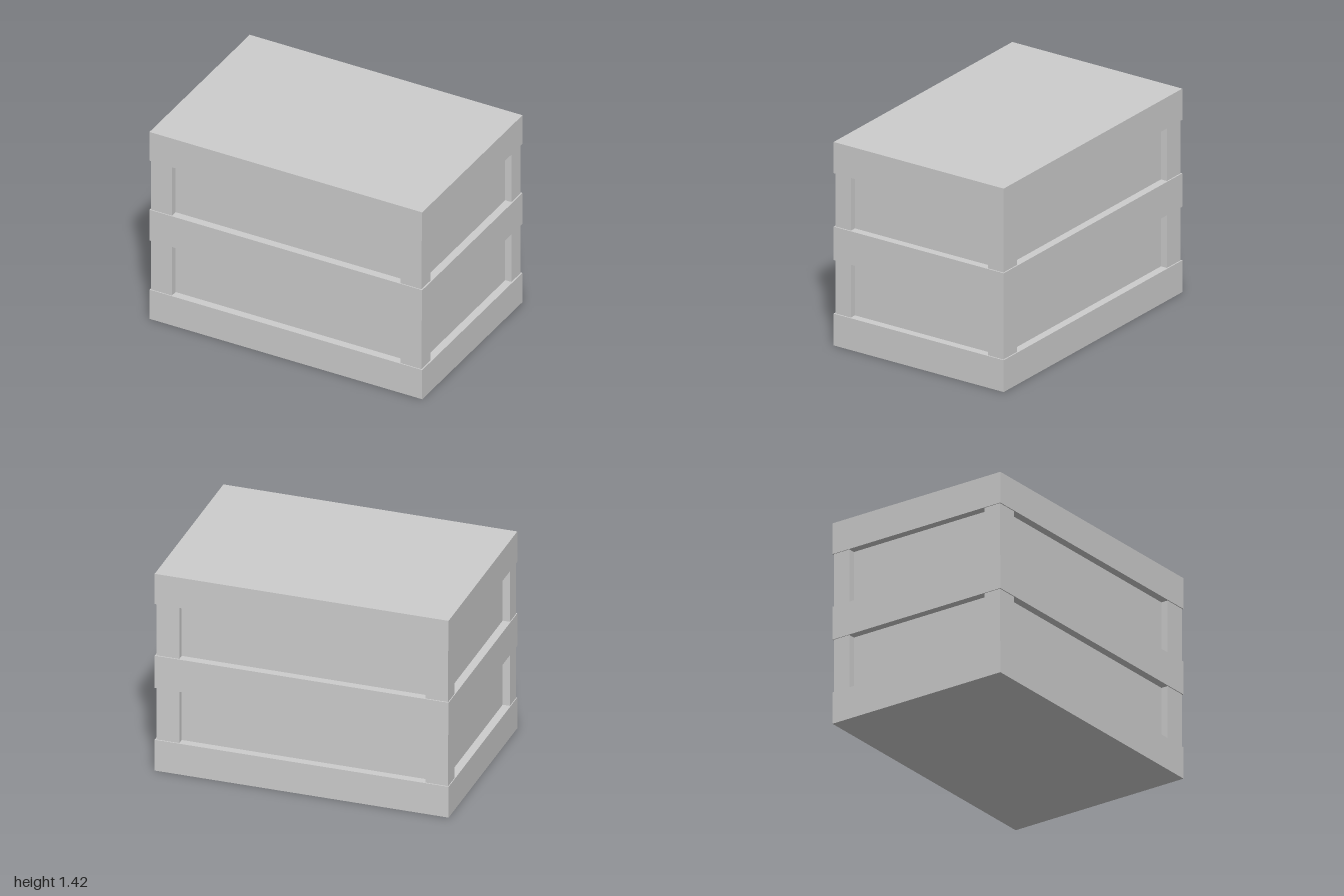
import * as THREE from 'three';

export function createModel() {
  const crate = new THREE.Group();
  crate.name = 'crate';
  const grey = new THREE.MeshStandardMaterial({ color: 0xcccccc });
  grey.name = 'plain grey';

  // Box spanning y0..y1, centred on x, z
  const block = (name, w, d, y0, y1, x = 0, z = 0) => {
    const mesh = new THREE.Mesh(new THREE.BoxGeometry(w, y1 - y0, d), grey);
    mesh.name = name;
    mesh.position.set(x, (y0 + y1) / 2, z);
    crate.add(mesh);
  };

  // Horizontal bands
  block('bottomBand', 2, 1.333, 0, 0.222);
  block('middleBand', 2, 1.333, 0.596, 0.829);
  block('topBand', 2, 1.333, 1.202, 1.42);

  // Recessed walls and corner posts in the gaps between bands
  const gaps = [['lower', 0.222, 0.596], ['upper', 0.829, 1.202]];
  for (const [level, y0, y1] of gaps) {
    block(level + 'Walls', 1.89, 1.222, y0, y1);
    for (const sx of [-1, 1]) {
      for (const sz of [-1, 1]) {
        block(level + 'CornerPost', 0.155, 0.121, y0, y1, sx * 0.915 - 0.002, sz * 0.598 + 0.001);
      }
    }
  }
  return crate;
}
